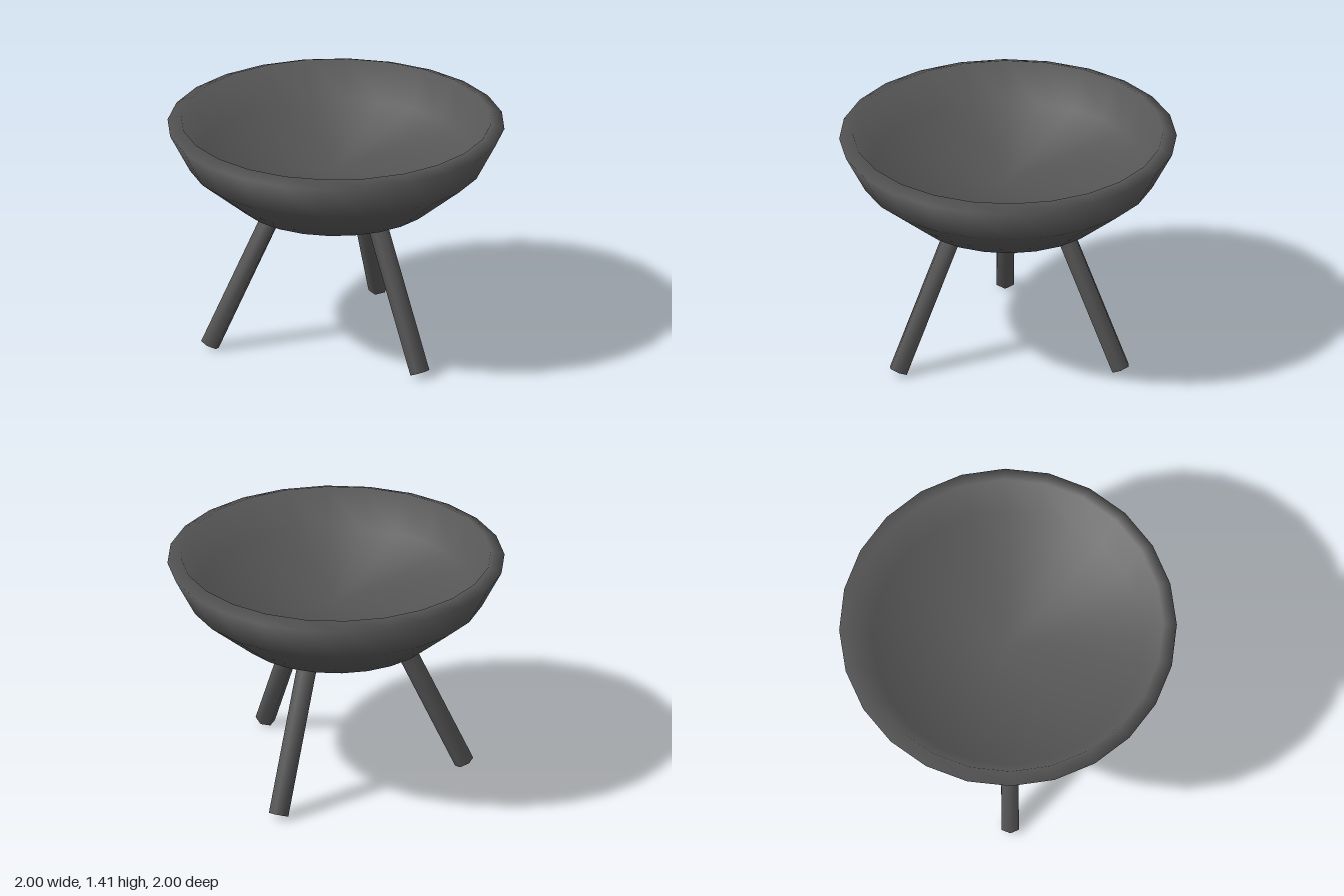
import * as THREE from 'three';
import { mergeVertices } from 'three/addons/utils/BufferGeometryUtils.js';

// Turned shape whose normals weigh neighbouring bands equally, so thin bands stay soft
function smoothLathe(points, segments) {
  const geometry = new THREE.LatheGeometry(points, segments);
  const bands = points.slice(1).map((p, i) => {
    const d = p.clone().sub(points[i]).normalize();
    return new THREE.Vector2(d.y, -d.x);
  });
  const normals = points.map((p, j) => {
    if (j === 0) return new THREE.Vector2(0, -1);
    if (j === points.length - 1) return new THREE.Vector2(0, 1);
    return bands[j - 1].clone().add(bands[j]).normalize();
  });
  for (let i = 0; i <= segments; i++) {
    const a = (i / segments) * Math.PI * 2;
    normals.forEach((n, j) => geometry.attributes.normal.setXYZ(
      i * points.length + j, n.x * Math.sin(a), n.y, n.x * Math.cos(a)));
  }
  return geometry;
}

export function createModel() {
  const model = new THREE.Group();
  const grey = new THREE.MeshStandardMaterial({ color: 0x555555 });
  grey.name = 'dark grey';

  // Bowl: outer wall, bevelled rim, inner wall, then a shallow dished floor
  const profile = [
    [0, 0.91], [0.59, 0.91], [0.88, 1.15], [1, 1.38], [0.92, 1.412],
    [0.8, 1.2], [0, 1.09],
  ].map(([r, y]) => new THREE.Vector2(r, y));
  const bowl = new THREE.Mesh(smoothLathe(profile, 24), grey);
  bowl.name = 'bowl';
  model.add(bowl);

  // Three splayed six-sided legs, squarely cut at the foot, with softened edges
  const tilt = 0.435, length = 1.01, radius = 0.059;
  const cylinder = new THREE.CylinderGeometry(radius, radius, length, 6, 1, false, Math.PI / 2);
  cylinder.deleteAttribute('normal');
  cylinder.deleteAttribute('uv');
  const legGeometry = mergeVertices(cylinder);
  legGeometry.computeVertexNormals();
  legGeometry.translate(0, length / 2, 0);
  legGeometry.rotateZ(tilt);
  legGeometry.translate(0.76, radius * Math.sin(tilt), 0);
  for (let i = 0; i < 3; i++) {
    const leg = new THREE.Mesh(legGeometry, grey);
    leg.name = `leg${i + 1}`;
    leg.rotation.y = (i * Math.PI * 2) / 3;
    model.add(leg);
  }
  return model;
}
